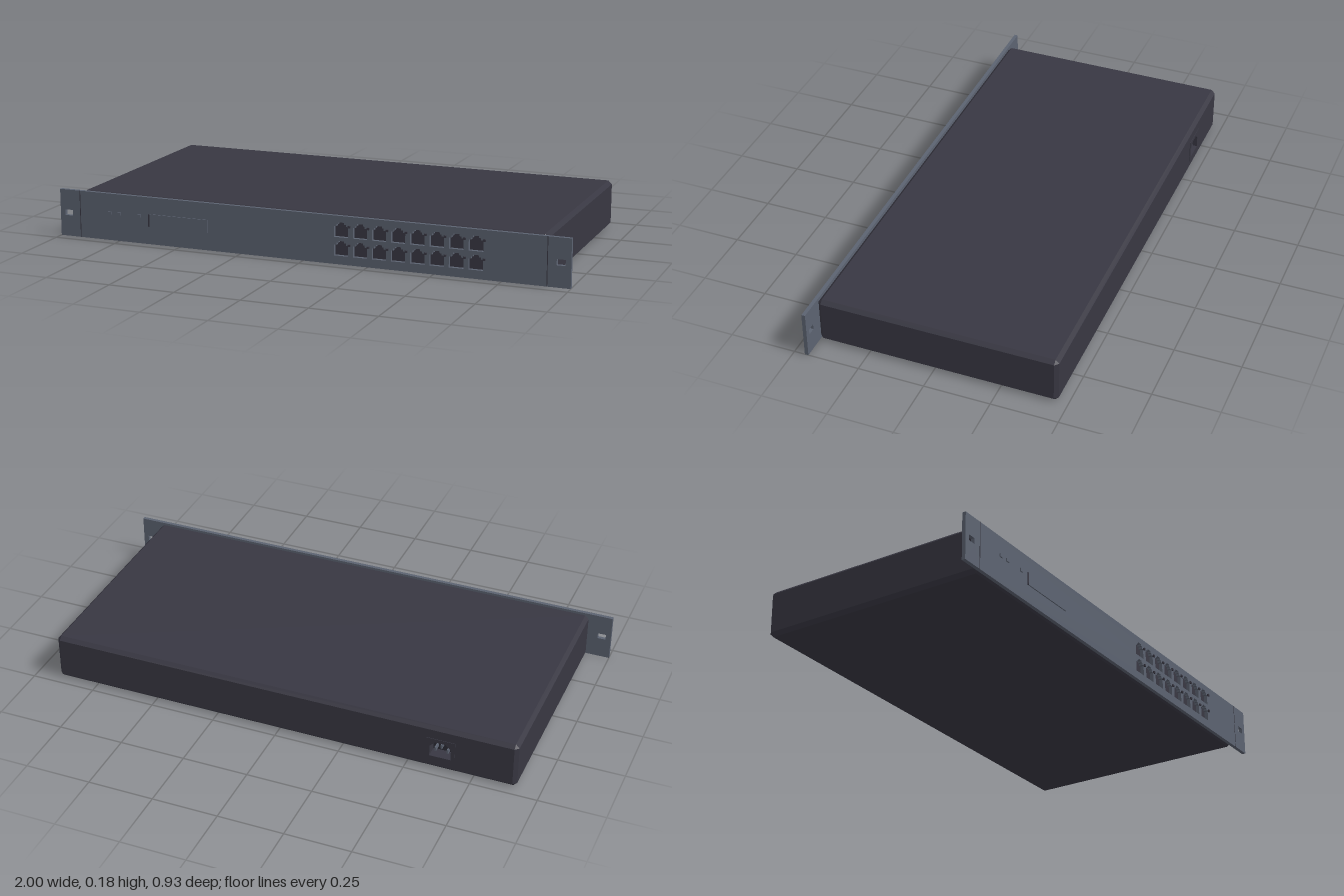
import * as THREE from 'three';

const W = 0.91, H = 0.18, C = 0.014; // case half width, height, chamfer
const BACK = -0.463, SEAM = 0.445, FACE = 0.459;

const mat = (name, color) => {
  const m = new THREE.MeshStandardMaterial({ color });
  m.name = name;
  return m;
};

function path(points, Type = THREE.Path) {
  return new Type(points.map(([x, y]) => new THREE.Vector2(x, y)));
}
const rect = (x0, y0, x1, y1) => [[x0, y0], [x1, y0], [x1, y1], [x0, y1]];

// flat plate with cut-outs, extruded from z0 to z1
function plate(outline, holes, z0, z1) {
  const shape = path(outline, THREE.Shape);
  shape.holes = holes.map((h) => path(h));
  return new THREE.ExtrudeGeometry(shape, { depth: z1 - z0, bevelEnabled: false }).translate(0, 0, z0);
}

// eight-point section of the case: chamfered when full, rectangular at the ends
function ring(z, end) {
  const a = W - C, b = H - C, X = end ? a : W, y0 = end ? C : 0, y1 = end ? b : H;
  return [[a, y0], [X, C], [X, b], [a, y1], [-a, y1], [-X, b], [-X, C], [-a, y0]].map(([x, y]) => [x, y, z]);
}

function caseShell() {
  const rings = [ring(BACK, true), ring(BACK + C, false), ring(SEAM - C, false), ring(SEAM, true)];
  const pos = [];
  for (let r = 0; r < 3; r++) {
    for (let i = 0; i < 8; i++) {
      const j = (i + 1) % 8;
      const a = rings[r][i], b = rings[r][j], c = rings[r + 1][j], d = rings[r + 1][i];
      const same = (p, q) => p.every((v, k) => v === q[k]);
      if (!same(a, b)) pos.push(...a, ...b, ...c);
      if (!same(c, d)) pos.push(...a, ...c, ...d);
    }
  }
  const g = new THREE.BufferGeometry();
  g.setAttribute('position', new THREE.Float32BufferAttribute(pos, 3));
  g.computeVertexNormals();
  return g;
}

// network socket outline with a stepped latch notch
function portOutline(cx, y) {
  const p = [[-0.027, 0], [0.027, 0], [0.027, 0.04], [0.018, 0.04], [0.018, 0.048], [0.011, 0.048], [0.011, 0.055]];
  const left = p.slice(2).reverse().map(([x, v]) => [-x, v]);
  return [...p, ...left].map(([x, v]) => [cx + x, y + v]);
}

export function createModel() {
  const root = new THREE.Group();
  root.name = 'rackUnit';
  const dark = mat('charcoal case', 0x383742);
  const slate = mat('slate faceplate', 0x5b6270);
  const black = mat('dark socket', 0x2c2c35);

  const add = (name, geometry, material, parent = root) => {
    const m = new THREE.Mesh(geometry, material);
    m.name = name;
    parent.add(m);
    return m;
  };
  const box = (name, x0, x1, y0, y1, z0, z1, material, parent) =>
    add(name, new THREE.BoxGeometry(x1 - x0, y1 - y0, z1 - z0), material, parent)
      .position.set((x0 + x1) / 2, (y0 + y1) / 2, (z0 + z1) / 2);

  // case with chamfered edges, closed front and a cut-out in the back
  add('case', caseShell(), dark);
  const end = rect(-W + C, C, W - C, H - C);
  add('caseFront', new THREE.ShapeGeometry(path(end, THREE.Shape)).translate(0, 0, SEAM), dark);
  const inlet = rect(-0.68, 0.04, -0.57, 0.13);
  const backShape = path(end.map(([x, y]) => [-x, y]), THREE.Shape);
  backShape.holes.push(path(inlet.map(([x, y]) => [-x, y])));
  add('caseBack', new THREE.ShapeGeometry(backShape).rotateY(Math.PI).translate(0, 0, BACK), dark);

  // power inlet: frame, recessed floor and three pins
  const power = new THREE.Group();
  power.name = 'powerInlet';
  root.add(power);
  const socket = [[-0.665, 0.054], [-0.585, 0.054], [-0.585, 0.096], [-0.605, 0.116], [-0.645, 0.116], [-0.665, 0.096]];
  add('inletFrame', plate(inlet, [socket], BACK - 0.002, BACK + 0.05), dark, power);
  box('inletFloor', -0.68, -0.57, 0.04, 0.13, BACK + 0.045, BACK + 0.055, black, power);
  for (const [x, y] of [[-0.648, 0.076], [-0.625, 0.092], [-0.602, 0.076]]) {
    box('inletPin', x - 0.003, x + 0.003, y - 0.008, y + 0.008, BACK + 0.012, BACK + 0.046, slate, power);
  }

  // two rows of eight sockets cut through the faceplate, each with a status light
  const ports = [];
  for (const y of [0.032, 0.101]) {
    for (let i = 0; i < 8; i++) {
      const cx = 0.149 + i * 0.0725;
      ports.push(portOutline(cx, y));
      box('statusLight', cx + 0.027, cx + 0.036, y + 0.038, y + 0.046, FACE - 0.003, 0.465, dark);
    }
  }
  add('faceplate', plate(rect(-0.915, 0, 0.915, H), ports, SEAM, FACE), slate);

  // mounting ears with a slot each
  for (const s of [-1, 1]) {
    const x = s * 0.9575, m = s * 0.964;
    const slot = rect(m - 0.016, 0.08, m + 0.016, 0.102);
    add('mountingEar', plate(rect(x - 0.0425, 0, x + 0.0425, H), [slot], SEAM, FACE), slate);
    box('earSeam', s * 0.915 - 0.0015, s * 0.915 + 0.0015, 0, H, FACE - 0.002, FACE + 0.0004, dark);
  }

  // raised label panel with a dark marker, and small indicator studs
  box('labelPanel', -0.62, -0.38, 0.068, 0.116, FACE - 0.002, 0.463, slate);
  box('labelMarker', -0.626, -0.62, 0.068, 0.116, FACE - 0.002, 0.463, dark);
  for (const x of [-0.79, -0.75, -0.665]) {
    box('indicatorStud', x - 0.008, x + 0.008, 0.1, 0.112, FACE - 0.002, 0.463, slate);
  }
  return root;
}
